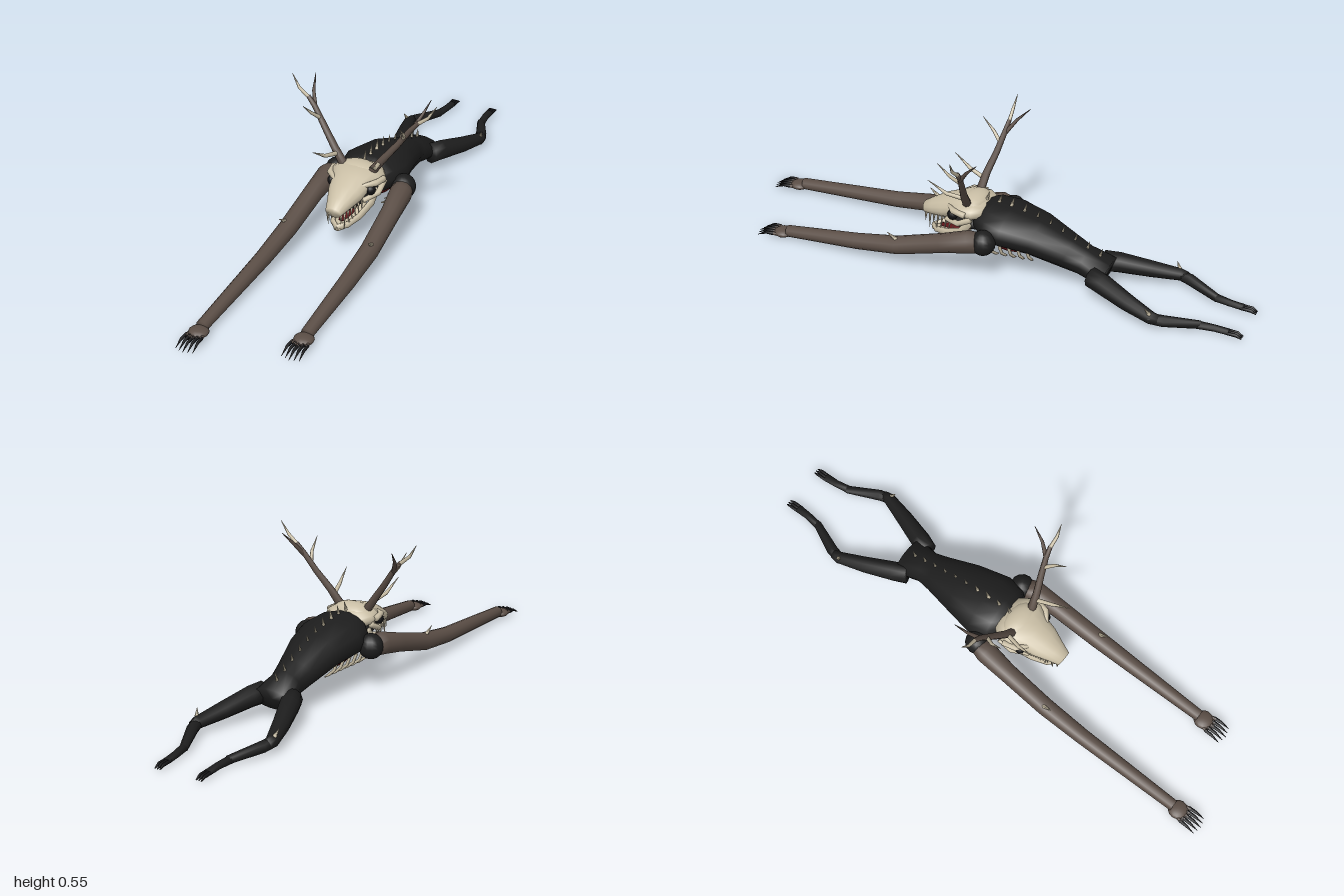
import * as THREE from 'three';

const mat = (name, color) => {
  const m = new THREE.MeshStandardMaterial({ color });
  m.name = name;
  return m;
};

// Skin elliptical rings [x, y, z, rx, ry] into a closed tube
function loft(rings, sides = 10) {
  const pos = [], idx = [], n = rings.length;
  const P = rings.map(r => new THREE.Vector3(r[0], r[1], r[2]));
  const overall = P[n - 1].clone().sub(P[0]).normalize();
  const ref = Math.abs(overall.y) > 0.9 ? new THREE.Vector3(0, 0, 1) : new THREE.Vector3(0, 1, 0);
  P.forEach((p, i) => {
    const t = P[Math.min(i + 1, n - 1)].clone().sub(P[Math.max(i - 1, 0)]).normalize();
    const s = ref.clone().cross(t).normalize(), u = t.clone().cross(s);
    const rx = rings[i][3], ry = rings[i][4] ?? rx;
    for (let j = 0; j < sides; j++) {
      const a = j / sides * Math.PI * 2;
      const v = p.clone().addScaledVector(s, Math.cos(a) * rx).addScaledVector(u, Math.sin(a) * ry);
      pos.push(v.x, v.y, v.z);
    }
  });
  pos.push(...P[0].toArray(), ...P[n - 1].toArray());
  for (let j = 0; j < sides; j++) {
    const k = (j + 1) % sides, e = (n - 1) * sides;
    for (let i = 0; i < n - 1; i++) {
      const a = i * sides, b = a + sides;
      idx.push(a + j, a + k, b + j, a + k, b + k, b + j);
    }
    idx.push(n * sides, k, j, n * sides + 1, e + j, e + k);
  }
  const g = new THREE.BufferGeometry();
  g.setAttribute('position', new THREE.Float32BufferAttribute(pos, 3));
  g.setIndex(idx);
  g.computeVertexNormals();
  return g;
}

export function createModel() {
  const hide = mat('black hide', 0x1d1d1d), skin = mat('brown skin', 0x5b4e46);
  const bone = mat('bone', 0xcabfa6), flesh = mat('red flesh', 0x5e1518), claw = mat('dark claw', 0x121214);
  const root = new THREE.Group();
  root.name = 'antleredBeast';

  const group = (name, parent = root) => {
    const g = new THREE.Group();
    g.name = name;
    parent.add(g);
    return g;
  };
  const add = (name, geo, m, parent = root) => {
    const mesh = new THREE.Mesh(geo, m);
    mesh.name = name;
    parent.add(mesh);
    return mesh;
  };
  const tube = (name, rings, m, parent, sides) => add(name, loft(rings, sides), m, parent);
  const spike = (name, a, b, r, m, parent) => tube(name, [[...a, r], [...b, 0.0008]], m, parent, 6);
  const ball = (name, x, y, z, rx, ry, rz, m, parent) => {
    const b = add(name, new THREE.SphereGeometry(1, 14, 10), m, parent);
    b.position.set(x, y, z);
    b.scale.set(rx, ry, rz);
    return b;
  };

  // Torso, with the open belly beneath
  tube('torso', [
    [0, 0.083, -0.47, 0.083, 0.042], [0, 0.11, -0.38, 0.062, 0.053], [0, 0.13, -0.32, 0.074, 0.06],
    [0, 0.172, -0.2, 0.106, 0.07], [0, 0.19, -0.09, 0.13, 0.074], [0, 0.2, -0.02, 0.113, 0.07],
    [0, 0.205, 0.03, 0.07, 0.055],
  ], hide, root, 14);
  ball('belly', 0, 0.125, -0.1, 0.065, 0.038, 0.085, flesh);

  // Spine spikes follow the slope of the back
  const back = z => z > -0.1 ? 0.262 : 0.262 - (-0.1 - z) * 0.39;
  const spine = group('spine');
  for (let i = 0; i < 10; i++) {
    const z = 0.01 - i * 0.049, y = back(z) - 0.01;
    spike('spineSpike', [0, y, z], [0, y + 0.048, z - 0.014], 0.009, bone, spine);
  }

  // Skull
  const head = group('head');
  tube('skull', [
    [0, 0.235, -0.005, 0.075, 0.028], [0, 0.236, 0.03, 0.098, 0.038], [0, 0.237, 0.075, 0.098, 0.043],
    [0, 0.226, 0.11, 0.076, 0.042], [0, 0.207, 0.16, 0.066, 0.042], [0, 0.189, 0.21, 0.045, 0.034],
    [0, 0.176, 0.25, 0.031, 0.023],
  ], bone, head, 16);
  ball('crown', 0, 0.255, 0.05, 0.075, 0.03, 0.05, bone, head);
  tube('mouthLining', [[0, 0.165, 0.03, 0.05, 0.022], [0, 0.155, 0.1, 0.045, 0.02], [0, 0.152, 0.16, 0.03, 0.012]], hide, head);
  tube('tongue', [[0, 0.13, 0.07, 0.02, 0.008], [0, 0.118, 0.14, 0.021, 0.007], [0, 0.113, 0.19, 0.01, 0.004]], flesh, head);

  // Lower jaw: shallow floor, with a rim on each side
  tube('jawFloor', [
    [0, 0.13, 0.07, 0.045, 0.008], [0, 0.107, 0.14, 0.042, 0.01], [0, 0.095, 0.2, 0.026, 0.012], [0, 0.095, 0.225, 0.012, 0.008],
  ], bone, head);

  for (const s of [-1, 1]) {
    const side = s > 0 ? 'left' : 'right';
    // Eye sockets, cheekbones and jaw rims
    ball(side + 'EyeSocket', s * 0.077, 0.217, 0.108, 0.018, 0.02, 0.02, claw, head);
    tube(side + 'Brow', [[s * 0.1, 0.238, 0.05, 0.012], [s * 0.09, 0.242, 0.1, 0.012], [s * 0.055, 0.238, 0.132, 0.007]], bone, head, 8);
    tube(side + 'Cheekbone', [[s * 0.092, 0.22, 0.03, 0.012], [s * 0.093, 0.194, 0.08, 0.011], [s * 0.062, 0.184, 0.14, 0.009]], bone, head, 8);
    tube(side + 'JawRim', [
      [s * 0.072, 0.19, 0.045, 0.008, 0.014], [s * 0.066, 0.145, 0.08, 0.009, 0.016], [s * 0.05, 0.118, 0.145, 0.009, 0.014],
      [s * 0.028, 0.106, 0.2, 0.009, 0.013], [0, 0.102, 0.224, 0.008, 0.012],
    ], bone, head, 8);

    // Teeth
    for (let i = 0; i < 7; i++) {
      const f = i / 6, x = s * (0.053 - 0.026 * f), z = 0.13 + 0.11 * f, y = 0.178 - 0.01 * f;
      spike('upperTooth', [x, y, z], [x, y - (i === 5 ? 0.062 : 0.036), z + 0.003], 0.005, bone, head);
      if (i < 5) spike('lowerTooth', [x * 0.95, 0.124 - 0.014 * f, z - 0.01], [x * 0.9, 0.15 - 0.014 * f, z - 0.008], 0.004, bone, head);
    }

    // Antler: brown beam and fork, bone tines
    const antler = group(side + 'Antler', head);
    tube('beam', [
      [s * 0.052, 0.255, 0.06, 0.017], [s * 0.095, 0.315, 0.052, 0.014], [s * 0.145, 0.38, 0.035, 0.012],
      [s * 0.19, 0.445, 0.022, 0.01], [s * 0.22, 0.48, 0.018, 0.008],
    ], skin, antler, 8);
    tube('outerTine', [[s * 0.213, 0.472, 0.018, 0.0075], [s * 0.255, 0.507, 0.02, 0.006], [s * 0.285, 0.555, 0.015, 0.0008]], bone, antler, 7);
    tube('rearTine', [[s * 0.19, 0.44, 0.022, 0.009], [s * 0.215, 0.49, -0.015, 0.006], [s * 0.23, 0.535, -0.06, 0.001]], skin, antler, 7);
    tube('frontTine', [[s * 0.165, 0.41, 0.03, 0.008], [s * 0.184, 0.443, 0.065, 0.006], [s * 0.19, 0.488, 0.11, 0.0008]], bone, antler, 7);
    tube('lowTine', [[s * 0.082, 0.298, 0.054, 0.009], [s * 0.1, 0.315, 0.12, 0.007], [s * 0.112, 0.36, 0.188, 0.0008]], bone, antler, 7);

    // Exposed ribs curling under the chest
    const ribs = group(side + 'Ribs');
    for (let i = 0; i < 6; i++) {
      const z = -0.025 - i * 0.033, w = 1 - i * 0.05;
      tube('rib', [
        [s * 0.118 * w, 0.15, z, 0.006], [s * 0.105 * w, 0.116, z - 0.004, 0.006],
        [s * 0.078 * w, 0.095, z - 0.006, 0.0055], [s * 0.05 * w, 0.08, z - 0.004, 0.002],
      ], bone, ribs, 6);
    }

    // Long front leg; the right one reaches further forward
    const arm = group(side + 'FrontLeg');
    const hz = s > 0 ? 0.772 : 0.893, hx = s * 0.166;
    ball('shoulder', s * 0.135, 0.168, -0.04, 0.046, 0.047, 0.046, hide, arm);
    tube('leg', [
      [s * 0.135, 0.165, -0.04, 0.036], [s * 0.148, 0.167, 0.01, 0.042], [s * 0.156, 0.14, 0.11, 0.036],
      [s * 0.163, 0.088, 0.29, 0.034], [s * 0.165, 0.062, 0.46, 0.03], [hx, 0.03, hz - 0.02, 0.022],
    ], skin, arm, 12);
    spike('elbowSpike', [s * 0.17, 0.1, 0.27], [s * 0.176, 0.142, 0.325], 0.013, bone, arm);
    ball('palm', hx, 0.022, hz, 0.036, 0.016, 0.036, skin, arm);
    for (let i = -2; i <= 2; i++) {
      const x = hx + i * 0.0145, z = hz + 0.028 - Math.abs(i) * 0.005;
      tube('toe', [[hx + i * 0.011, 0.02, z - 0.02, 0.007], [x, 0.022, z + 0.018, 0.0065]], skin, arm, 7);
      tube('claw', [[x, 0.022, z + 0.01, 0.007], [x + i * 0.001, 0.021, z + 0.04, 0.0055], [x + i * 0.002, 0.004, z + 0.076, 0.0008]], claw, arm, 6);
    }

    // Hind leg trailing behind
    const hind = group(side + 'HindLeg');
    tube('thigh', [
      [s * 0.06, 0.085, -0.43, 0.036, 0.04], [s * 0.08, 0.08, -0.48, 0.037, 0.038],
      [s * 0.12, 0.058, -0.59, 0.031], [s * 0.152, 0.042, -0.69, 0.023], [s * 0.15, 0.039, -0.715, 0.02],
    ], hide, hind, 10);
    tube('shin', [[s * 0.155, 0.042, -0.68, 0.02], [s * 0.143, 0.036, -0.73, 0.021], [s * 0.09, 0.022, -0.85, 0.015]], hide, hind, 9);
    tube('foot', [[s * 0.094, 0.022, -0.84, 0.015], [s * 0.085, 0.019, -0.9, 0.014, 0.012], [s * 0.083, 0.016, -0.95, 0.016, 0.01]], hide, hind, 9);
    for (let i = -1; i <= 1; i++) {
      const x = s * 0.083 + i * 0.01;
      tube('hindToe', [[x, 0.016, -0.94, 0.006], [x, 0.015, -0.98, 0.006], [x, 0.006, -1, 0.002]], claw, hind, 6);
    }
    spike('kneeSpike', [s * 0.156, 0.05, -0.69], [s * 0.168, 0.085, -0.67], 0.011, bone, hind);
  }
  return root;
}
